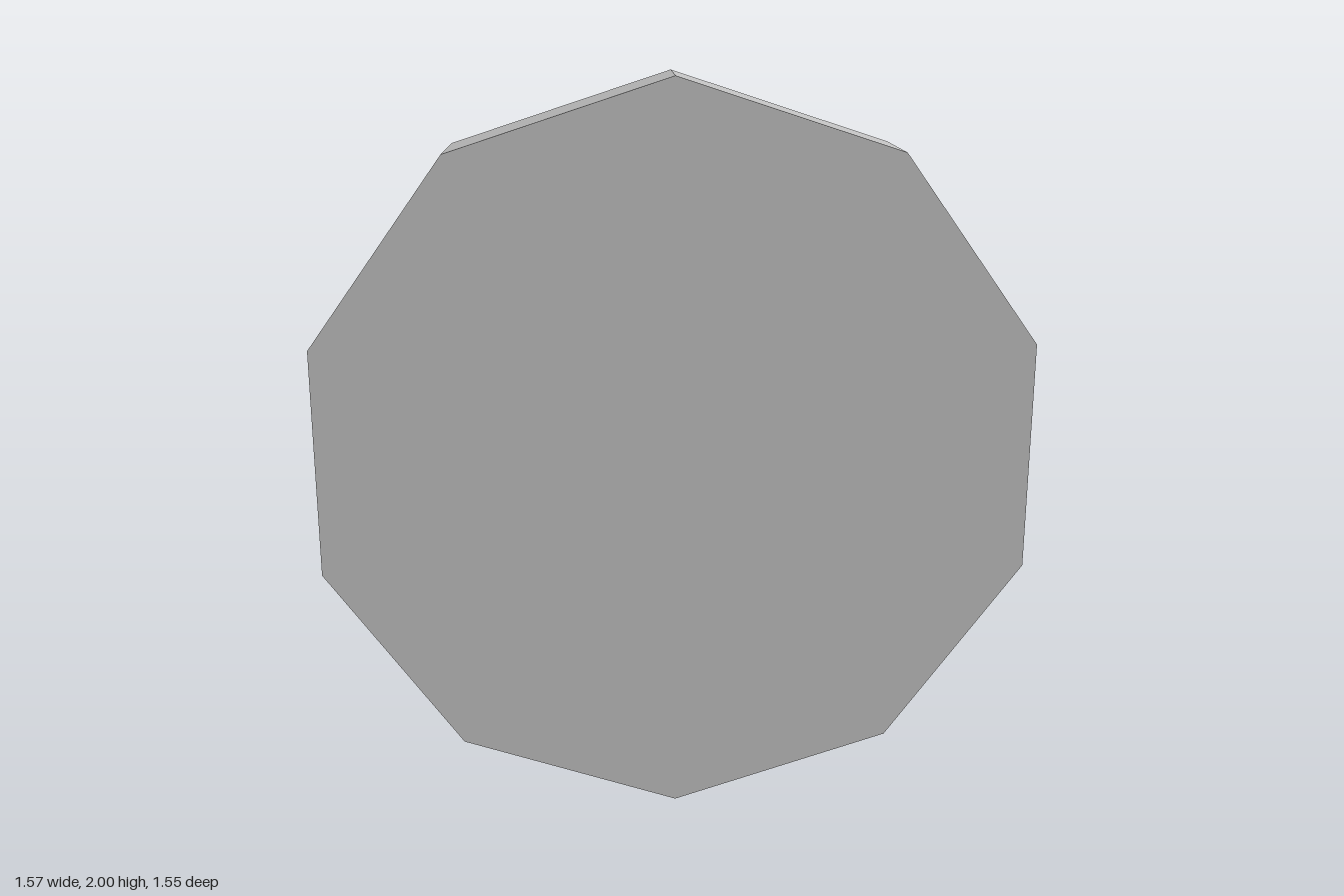
import * as THREE from 'three';

const SIDES = 10;
const HALF = 0.15;   // half thickness of the rim
const DOME = 0.2;    // height of the dome

export function createModel() {
  const group = new THREE.Group();
  group.name = 'domedDisc';

  const gray = new THREE.MeshStandardMaterial({ color: 0xc0c0c0, flatShading: true });
  gray.name = 'lightGray';

  // Local y is the disc axis; local z becomes straight up, so a corner points up
  const axis = new THREE.Vector3(0.7, 0, -0.714).normalize();
  const up = new THREE.Vector3(0, 1, 0);
  const side = new THREE.Vector3().crossVectors(axis, up);
  const place = new THREE.Matrix4().makeBasis(side, axis, up).setPosition(0, 1, 0);

  function turned(name, profile) {
    const geometry = new THREE.LatheGeometry(profile.map(([r, y]) => new THREE.Vector2(r, y)), SIDES);
    geometry.applyMatrix4(place);
    const mesh = new THREE.Mesh(geometry, gray);
    mesh.name = name;
    group.add(mesh);
  }

  // Flat face and straight rim
  turned('flatFace', [[0, -HALF], [1, -HALF]]);
  turned('rim', [[1, -HALF], [1, HALF]]);

  // Shallow spherical dome in four rings
  const R = (1 + DOME * DOME) / (2 * DOME);
  const dome = [1, 0.75, 0.5, 0.25, 0].map(r => [r, HALF + DOME - R + Math.sqrt(R * R - r * r)]);
  turned('dome', dome);

  return group;
}
